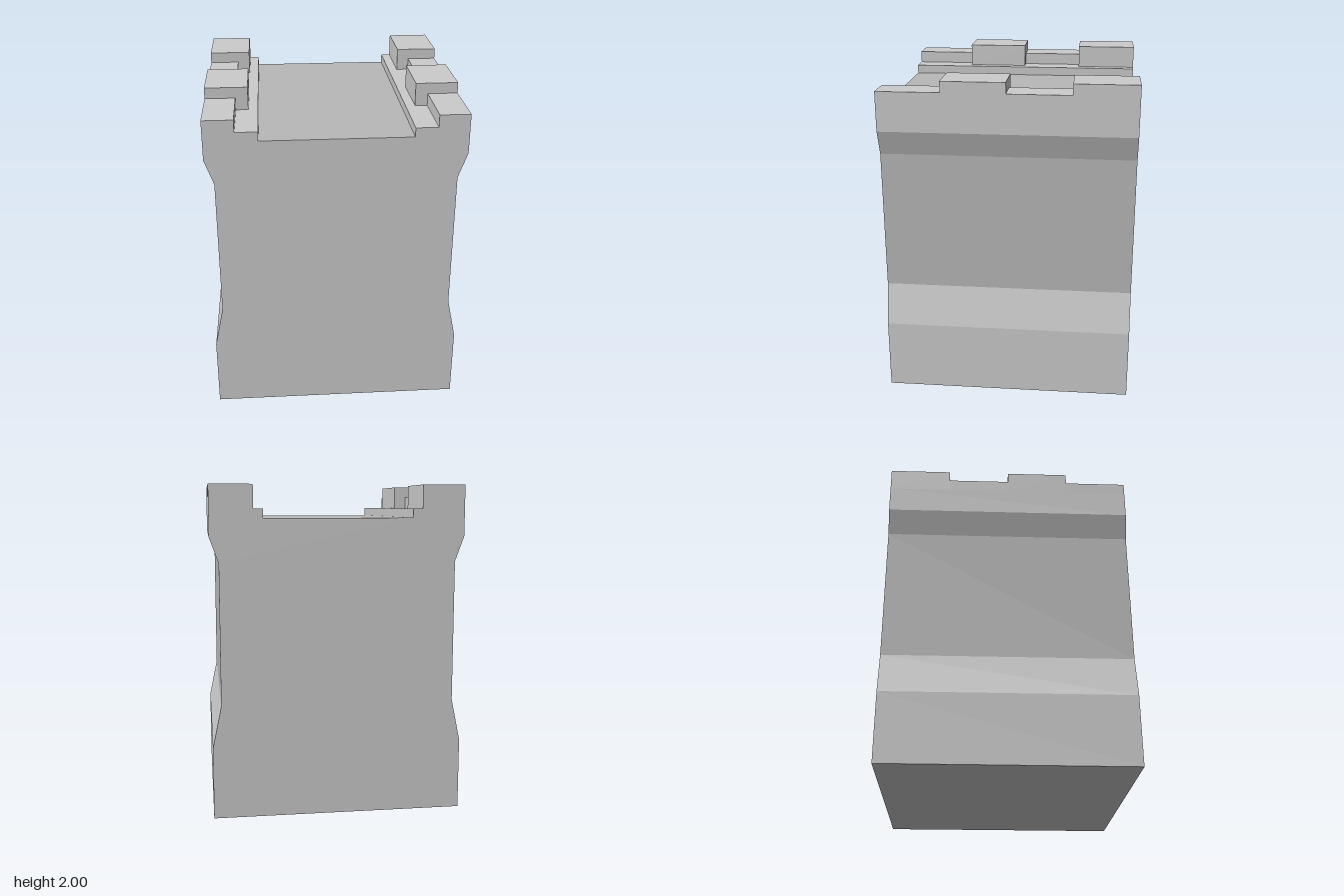
import * as THREE from 'three';

const HALF = 0.762;    // half width and half depth of the tower
const FLOOR = 1.805;   // sunken roof floor
const LEDGE = 1.86;    // walkway the parapet stands on

export function createModel() {
  const tower = new THREE.Group();
  tower.name = 'towerBlock';
  const stone = new THREE.MeshStandardMaterial({ color: 0xcccccc, flatShading: true });
  const darkStone = new THREE.MeshStandardMaterial({ color: 0xb8b8b8, flatShading: true });

  const add = (name, geometry, material, x = 0, y = 0, z = 0) => {
    const mesh = new THREE.Mesh(geometry, material);
    mesh.name = name;
    mesh.position.set(x, y, z);
    tower.add(mesh);
    return mesh;
  };

  // Right half of the front outline, from the base up to the roof floor
  const half = [
    [HALF, 0], [HALF, 0.435], [0.708, 0.692], [0.708, 1.545],
    [HALF, 1.695], [HALF, LEDGE], [0.447, LEDGE], [0.447, FLOOR],
  ];
  const outline = [...half, ...half.map(([x, y]) => [-x, y]).reverse()];
  const shape = new THREE.Shape(outline.map(([x, y]) => new THREE.Vector2(x, y)));

  // Flat front and back walls
  add('frontWall', new THREE.ShapeGeometry(shape), stone, 0, 0, HALF);
  add('backWall', new THREE.ShapeGeometry(shape), stone, 0, 0, -HALF).rotation.y = Math.PI;

  // One flat strip along the depth for each edge of the outline
  const names = ['basePlinth', 'baseSlope', 'recessedWall', 'upperSlope', 'upperWall', 'walkway', 'walkwayStep'];
  outline.forEach(([x0, y0], i) => {
    const [x1, y1] = outline[(i + 1) % outline.length];
    const name = i === 7 ? 'roofFloor' : i === 15 ? 'underside' : names[i < 7 ? i : 14 - i];
    const strip = new THREE.PlaneGeometry(Math.hypot(x1 - x0, y1 - y0), 2 * HALF)
      .rotateX(-Math.PI / 2)
      .rotateZ(Math.atan2(y0 - y1, x0 - x1));
    const dark = name === 'recessedWall' || name === 'roofFloor';
    add(name, strip, dark ? darkStone : stone, (x0 + x1) / 2, (y0 + y1) / 2);
  });

  // Parapets: tall, wide merlons alternating with low, narrow gaps
  const length = HALF / 2;
  for (const side of [1, -1]) {
    for (let i = 0; i < 4; i++) {
      const tall = i % 2 === 0;
      const width = tall ? 0.257 : 0.182;
      const height = (tall ? 2 : 1.934) - LEDGE;
      add(tall ? 'merlon' : 'crenel', new THREE.BoxGeometry(width, height, length), stone,
        side * (HALF - width / 2), LEDGE + height / 2, -HALF + (i + 0.5) * length);
    }
  }
  return tower;
}
